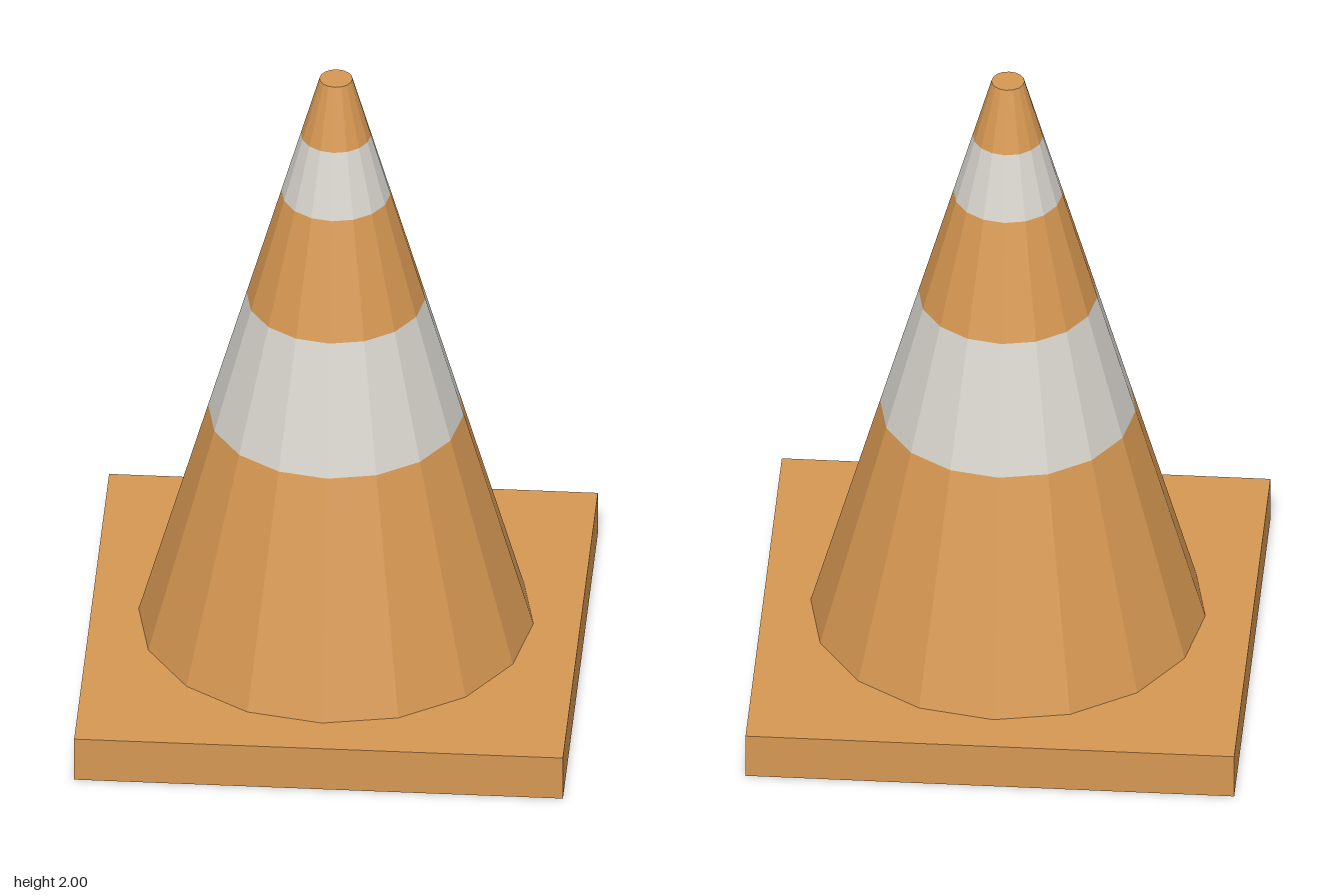
import * as THREE from 'three';

export function createModel() {
  const orange = new THREE.MeshStandardMaterial({ name: 'orange', color: 0xd69852, flatShading: true });
  const white = new THREE.MeshStandardMaterial({ name: 'reflectiveWhite', color: 0xd6d3cc, flatShading: true });
  const model = new THREE.Group();
  model.name = 'trafficCone';

  const baseHeight = 0.14, top = 2, bottomRadius = 0.575, topRadius = 0.048;
  const radiusAt = (y) => THREE.MathUtils.mapLinear(y, baseHeight, top, bottomRadius, topRadius);

  // Square foot
  const base = new THREE.Mesh(new THREE.BoxGeometry(1.424, baseHeight, 1.424), orange);
  base.name = 'base';
  base.position.y = baseHeight / 2;
  model.add(base);

  // Sixteen-sided cone, split into coloured bands along one straight taper
  const bands = [
    ['lowerCone', baseHeight, 0.855, orange],
    ['wideStripe', 0.855, 1.25, white],
    ['middleCone', 1.25, 1.608, orange],
    ['narrowStripe', 1.608, 1.808, white],
    ['coneTip', 1.808, top, orange],
  ];
  for (const [name, y0, y1, material] of bands) {
    const open = y1 < top; // only the tip is capped
    const geometry = new THREE.CylinderGeometry(radiusAt(y1), radiusAt(y0), y1 - y0, 16, 1, open);
    const band = new THREE.Mesh(geometry, material);
    band.name = name;
    band.position.y = (y0 + y1) / 2;
    model.add(band);
  }
  return model;
}
